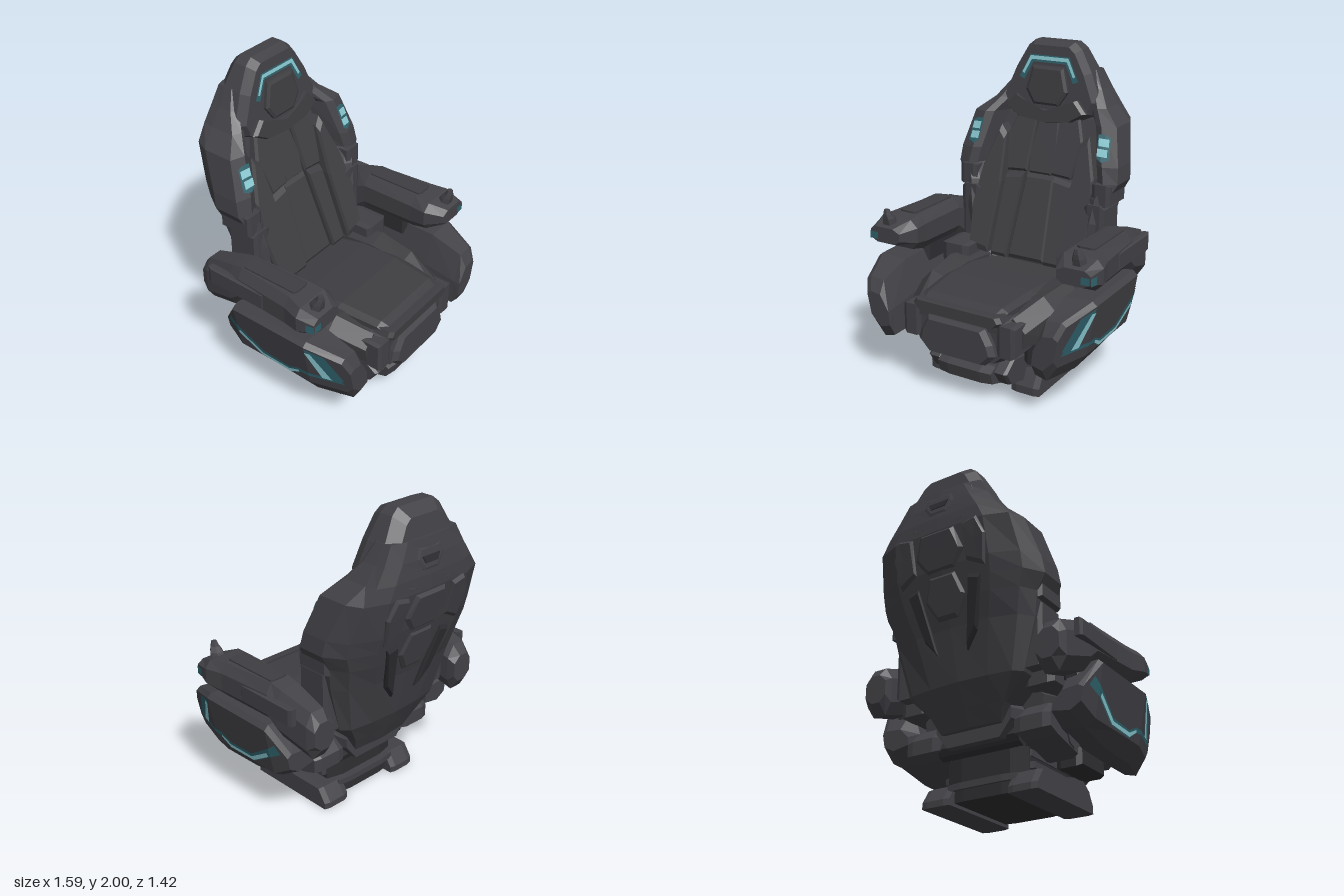
import * as THREE from 'three';

const mat = (name, color, extra = {}) => {
  const m = new THREE.MeshStandardMaterial({ color, flatShading: true, ...extra });
  m.name = name;
  return m;
};

export function createModel() {
  const group = new THREE.Group();
  const shell = mat('charcoal shell', 0x424146);
  const pad = mat('charcoal padding', 0x3e3d41);
  const dark = mat('dark recess', 0x2f2e32);
  const teal = mat('deep teal', 0x2f626c, { side: THREE.DoubleSide });
  const glow = mat('pale cyan light', 0x8ccbd4, { side: THREE.DoubleSide });

  const add = (name, geo, m) => {
    const mesh = new THREE.Mesh(geo, m);
    mesh.name = name;
    group.add(mesh);
    return mesh;
  };
  const fromTriangles = (p) => {
    const g = new THREE.BufferGeometry();
    g.setAttribute('position', new THREE.Float32BufferAttribute(p.flat(), 3));
    g.computeVertexNormals();
    return g;
  };
  // Solid skinned through equal-length rings, capped and wound outwards
  const loft = (name, rings, m) => {
    const tris = [], n = rings[0].length;
    const mid = (r) => [0, 1, 2].map((k) => r.reduce((a, p) => a + p[k], 0) / n);
    const last = rings[rings.length - 1], c0 = mid(rings[0]), c1 = mid(last);
    for (let j = 0; j < n; j++) {
      const k = (j + 1) % n;
      for (let i = 0; i < rings.length - 1; i++) {
        const [a, b, c, d] = [rings[i][j], rings[i][k], rings[i + 1][k], rings[i + 1][j]];
        tris.push([a, b, c], [a, c, d]);
      }
      tris.push([c0, rings[0][k], rings[0][j]], [c1, last[j], last[k]]);
    }
    let vol = 0;
    for (const [a, b, c] of tris) {
      vol += a[0] * (b[1] * c[2] - b[2] * c[1]) - a[1] * (b[0] * c[2] - b[2] * c[0]) + a[2] * (b[0] * c[1] - b[1] * c[0]);
    }
    if (vol < 0) tris.forEach((t) => t.reverse());
    return add(name, fromTriangles(tris.flat()), m);
  };
  // Both sides of a part
  const pair = (name, rings, m) => [['left', 1], ['right', -1]].forEach(([side, s]) =>
    loft(side + name, rings.map((r) => r.map(([x, y, z]) => [x * s, y, z])), m));
  // Full outline from its +x half
  const sym = (half) => [...half, ...half.filter((p) => p[0] > 0).reverse().map(([x, ...r]) => [-x, ...r])];
  // Front-facing outline stacked at levels [z(y), scale]
  const stack = (pts, levels) => {
    const c = [0, 1].map((k) => pts.reduce((a, p) => a + p[k], 0) / pts.length);
    return levels.map(([f, s]) => pts.map(([x, y]) => {
      const Y = c[1] + (y - c[1]) * s;
      return [c[0] + (x - c[0]) * s, Y, typeof f === 'number' ? f : f(Y)];
    }));
  };
  // Side profile of [z, y] given thickness along x, with bevelled faces
  const profile = (pts, x0, x1, bevel = 0.9) => {
    const c = [0, 1].map((k) => pts.reduce((a, p) => a + p[k], 0) / pts.length);
    const d = (x1 - x0) * 0.2;
    return [[x0, bevel], [x0 + d, 1], [x1 - d, 1], [x1, bevel]].map(([x, s]) =>
      pts.map(([z, y]) => [x, c[1] + (y - c[1]) * s, c[0] + (z - c[0]) * s]));
  };
  const box = (x0, x1, y0, y1, z0, z1, bevel = 0.88) => profile([[z0, y0], [z1, y0], [z1, y1], [z0, y1]], x0, x1, bevel);
  // Thin painted strip between two mapped polylines, on both sides
  const ribbon = (name, top, bottom, map, m) => [['left', 1], ['right', -1]].forEach(([side, s]) => {
    const t = [], P = (p) => { const [x, y, z] = map(p); return [x * s, y, z]; };
    for (let i = 0; i < top.length - 1; i++) {
      const q = [P(top[i]), P(bottom[i]), P(bottom[i + 1]), P(top[i + 1])];
      if (s < 0) q.reverse();
      t.push(q[0], q[1], q[2], q[0], q[2], q[3]);
    }
    add(side + name, fromTriangles(t), m);
  });

  // Backrest shell: [y, back width, width, inner width, back z, side z, front z, centre z]
  const rows = [
    [0.40, 0.12, 0.20, 0.14, -0.34, -0.30, -0.20, -0.20], [0.50, 0.15, 0.26, 0.20, -0.39, -0.34, -0.16, -0.18],
    [0.64, 0.20, 0.40, 0.32, -0.46, -0.38, -0.12, -0.18], [0.95, 0.26, 0.49, 0.38, -0.54, -0.40, -0.15, -0.26],
    [1.10, 0.30, 0.52, 0.40, -0.59, -0.42, -0.18, -0.32], [1.20, 0.32, 0.575, 0.44, -0.62, -0.42, -0.21, -0.35],
    [1.30, 0.33, 0.565, 0.42, -0.65, -0.44, -0.23, -0.39], [1.53, 0.32, 0.51, 0.37, -0.70, -0.54, -0.31, -0.45],
    [1.62, 0.28, 0.40, 0.30, -0.70, -0.58, -0.39, -0.48], [1.72, 0.22, 0.33, 0.24, -0.69, -0.58, -0.46, -0.50],
    [1.83, 0.16, 0.27, 0.20, -0.67, -0.58, -0.50, -0.52]];
  loft('backrestShell', rows.map(([y, wb, w, wi, zb, zs, zf, zc]) => sym([
    [0, y, zb], [wb, y, zb + 0.01], [(wb + w) / 2 + 0.05, y, (zb * 0.6 + zs * 0.4)], [w, y, zs],
    [w, y, zf - 0.03], [wi + 0.05, y, zf], [wi, y, zf - 0.03], [wi - 0.05, y, zc], [0, y, zc]])), shell);

  // Backrest padding: centre strip, side strips and bolsters on a leaning plane
  const lean = (d) => (y) => -0.12 - (y - 0.65) * 0.37 + d;
  const padLevels = (d) => [[lean(-0.12), 1], [lean(d - 0.02), 1], [lean(d), 0.9]];
  loft('lumbarStrip', stack(sym([[0.13, 0.64], [0.10, 1.17]]), padLevels(0.02)), pad);
  loft('upperCentrePad', stack(sym([[0.08, 1.17], [0.10, 1.30], [0.07, 1.52]]), padLevels(0.03)), pad);
  pair('InnerBackPad', stack([[0.14, 0.64], [0.25, 0.64], [0.24, 1.15], [0.11, 1.17]], padLevels(0.04)), pad);
  pair('UpperBackPad', stack([[0.09, 1.18], [0.23, 1.17], [0.27, 1.40], [0.22, 1.54], [0.08, 1.52]], padLevels(0.05)), pad);
  pair('BackBolster', stack([[0.26, 0.66], [0.40, 0.68], [0.43, 0.95], [0.40, 1.2], [0.32, 1.45], [0.27, 1.40], [0.25, 1.1]], padLevels(0.08)), pad);
  pair('WaistBlock', box(0.38, 0.52, 0.66, 1.07, -0.38, -0.17), shell);
  pair('WaistStep', box(0.42, 0.545, 1.06, 1.2, -0.42, -0.19), shell);

  // Rear spine plates and back panels
  const rear = (d) => (y) => (y < 1.5 ? -0.545 - (y - 0.95) * 0.27 : -0.695 + (y - 1.5) * 0.07) + d;
  const rearLevels = [[rear(0.08), 1], [rear(-0.005), 1], [rear(-0.02), 0.85]];
  loft('upperSpinePlate', stack(sym([[0.10, 1.28], [0.17, 1.38], [0.12, 1.52]]), rearLevels), shell);
  loft('middleSpinePlate', stack(sym([[0.07, 1.0], [0.14, 1.12], [0.09, 1.26]]), rearLevels), shell);
  pair('ShoulderPanel', stack([[0.18, 1.3], [0.30, 1.24], [0.33, 1.42], [0.28, 1.54], [0.18, 1.52]], rearLevels), shell);
  pair('RearRib', stack([[0.10, 0.8], [0.18, 0.9], [0.26, 1.2], [0.18, 1.22]], rearLevels), dark);

  // Headrest: hull, hexagonal cushion, chin collar and rear latch
  const headF = (d) => (y) => -0.375 - (y - 1.55) * 0.11 + d;
  const headB = (d) => (y) => -0.69 + (y - 1.6) * 0.17 + d;
  loft('headrest', stack(sym([[0.2, 1.51], [0.31, 1.56], [0.345, 1.64], [0.27, 1.82], [0.19, 1.96], [0.14, 2.0]]),
    [[headB(0), 0.78], [headB(0.06), 1], [headF(-0.06), 1], [headF(0), 0.9]]), shell);
  loft('headCushion', stack(sym([[0.09, 1.61], [0.15, 1.70], [0.11, 1.85]]), [[headF(-0.02), 1], [headF(0.02), 1], [headF(0.03), 0.86]]), pad);
  loft('chinCollar', stack(sym([[0, 1.5], [0.19, 1.52], [0.29, 1.58], [0.22, 1.66], [0.10, 1.58], [0, 1.58]]),
    [[headF(-0.08), 1], [headF(0.02), 1], [headF(0.04), 0.92]]), pad);
  loft('headLatch', stack(sym([[0.06, 1.65], [0.11, 1.72], [0.09, 1.78]]), [[headB(0.06), 1], [headB(-0.015), 1], [headB(-0.02), 0.8]]), shell);
  loft('headLatchRecess', stack(sym([[0.05, 1.69], [0.07, 1.73]]), [[headB(0), 1], [headB(-0.026), 1]]), dark);

  // Headrest light arch
  const onHead = (d) => ([x, y]) => [x, y, headF(d)(y)];
  const arch = [[0, 1.915], [0.14, 1.915], [0.21, 1.77]], archIn = [[0, 1.87], [0.115, 1.87], [0.175, 1.755]];
  ribbon('HeadLightFrame', arch, archIn, onHead(0.005), teal);
  ribbon('HeadLight', [[0, 1.908], [0.135, 1.908], [0.19, 1.80]], [[0, 1.885], [0.125, 1.885], [0.175, 1.79]], onHead(0.009), glow);

  // Shoulder wing lights
  const onWing = (d) => ([x, y]) => [x, y, -0.23 - (y - 1.3) * 0.348 - Math.max(0, x - 0.47 + (y - 1.3) * 0.217) * 0.28 + d];
  ribbon('WingLightFrame', [[0.415, 1.49], [0.46, 1.49], [0.495, 1.475]], [[0.43, 1.35], [0.46, 1.33], [0.51, 1.345]], onWing(0.012), teal);
  for (const y of [1.365, 1.425]) {
    ribbon('WingLight', [[0.425, y + 0.045], [0.49, y + 0.04]], [[0.43, y], [0.495, y - 0.005]], onWing(0.018), glow);
  }

  // Seat: base, cushion, front roll and nose panel
  const seatRing = (z, w, y0, y1) => sym([[w * 0.7, y0, z], [w, y0 + 0.1, z], [w * 1.02, y1 - 0.07, z], [w * 0.88, y1, z]]);
  loft('seatBase', [seatRing(-0.3, 0.26, 0.32, 0.55), seatRing(0.1, 0.36, 0.30, 0.59), seatRing(0.55, 0.36, 0.28, 0.58),
    seatRing(0.65, 0.34, 0.30, 0.56)], shell);
  loft('seatCushion', [[-0.2, 0.30, 0.60], [0.05, 0.35, 0.63], [0.3, 0.33, 0.645], [0.58, 0.30, 0.63], [0.66, 0.285, 0.60]].map(([z, w, y]) =>
    sym([[w, 0.5, z], [w, y - 0.02, z], [w * 0.85, y, z]])), pad);
  loft('seatFrontRoll', stack(sym([[0.28, 0.545], [0.31, 0.575], [0.29, 0.61]]), [[0.55, 1], [0.665, 1], [0.69, 0.92]]), pad);
  loft('seatNose', stack(sym([[0.2, 0.29], [0.27, 0.36], [0.25, 0.43], [0.2, 0.52]]), [[0.55, 1], [0.675, 1], [0.705, 0.88]]), shell);
  pair('SeatCorner', box(0.27, 0.39, 0.36, 0.56, 0.46, 0.67), shell);
  pair('SeatBolster', [[-0.2, 0.40, 0.64], [0.1, 0.49, 0.67], [0.35, 0.46, 0.65], [0.58, 0.39, 0.58]].map(([z, w, y]) =>
    [[0.28, 0.4, z], [w, 0.4, z], [w + 0.02, y - 0.08, z], [w - 0.06, y, z], [0.3, y - 0.03, z]]), pad);
  pair('HipBlock', box(0.34, 0.54, 0.58, 0.72, -0.3, 0.05), shell);

  // Side pods with a planar outer face so the light bands lie flush
  const podX = (y, z) => 0.775 - (0.69 - y) * 0.2 - Math.max(0, z - 0.4, -0.14 - z) * 0.3;
  pair('SidePod', [[-0.26, 0.40, 0.44, 0.52, 0.54], [-0.14, 0.33, 0.37, 0.69, 0.72], [0.1, 0.28, 0.37, 0.69, 0.72],
    [0.4, 0.27, 0.37, 0.69, 0.715], [0.62, 0.27, 0.37, 0.63, 0.65], [0.665, 0.35, 0.42, 0.55, 0.57]].map(([z, y0, y1, y2, y3]) => [
    [0.5, y0 + 0.02, z], [podX(y1, z) - 0.07, y0, z], [podX(y1, z), y1, z], [podX(y2, z), y2, z],
    [podX(y2, z) - 0.03, y3, z], [0.57, y3 - 0.01, z], [0.51, (y0 + y3) / 2, z]]), shell);
  const onPod = (d) => ([z, y]) => [podX(y, z) + d, y, z];
  ribbon('PodFrontPanel', [[0.62, 0.47], [0.52, 0.65]], [[0.50, 0.45], [0.40, 0.68]], onPod(0.004), teal);
  ribbon('PodFrontLight', [[0.55, 0.455], [0.44, 0.655]], [[0.49, 0.455], [0.405, 0.655]], onPod(0.008), glow);
  ribbon('PodBand', [[0.60, 0.47], [0.40, 0.46], [0.33, 0.46], [0.25, 0.42], [0.05, 0.43], [-0.14, 0.56], [-0.19, 0.60]],
    [[0.62, 0.44], [0.40, 0.435], [0.34, 0.43], [0.26, 0.375], [0.03, 0.385], [-0.14, 0.495], [-0.22, 0.54]], onPod(0.004), teal);
  ribbon('PodBandLight', [[0.33, 0.445], [0.25, 0.405], [0.05, 0.41], [-0.12, 0.52]],
    [[0.335, 0.43], [0.255, 0.38], [0.035, 0.388], [-0.13, 0.495]], onPod(0.008), glow);

  // Armrests: [z, inner x, outer x, bottom y, top y]
  pair('Armrest', [[-0.47, 0.53, 0.68, 0.64, 0.82], [-0.42, 0.52, 0.70, 0.57, 0.88], [-0.2, 0.51, 0.73, 0.64, 0.95],
    [-0.12, 0.51, 0.735, 0.72, 0.97], [0.26, 0.50, 0.765, 0.74, 0.97], [0.37, 0.49, 0.795, 0.77, 0.96], [0.48, 0.55, 0.77, 0.82, 0.92]].map(([z, a, b, y0, y1]) => {
    const h = (y1 - y0) * 0.25;
    return [[a + 0.04, y0, z], [b - 0.05, y0, z], [b, y0 + h, z], [b, y1 - h, z], [b - 0.04, y1, z], [a + 0.05, y1, z], [a, y1 - h, z], [a, y0 + h, z]];
  }), shell);
  pair('ArmPad', box(0.57, 0.69, 0.94, 0.98, -0.12, 0.28, 0.95), pad);
  pair('ArmSidePanel', box(0.70, 0.755, 0.79, 0.9, -0.35, 0.1, 0.9), shell);
  pair('ArmStrut', box(0.54, 0.66, 0.62, 0.78, -0.2, 0.2), dark);
  ribbon('ArmLight', [[0.43, 0.885], [0.482, 0.885]], [[0.43, 0.835], [0.482, 0.835]], ([z, y]) => [0.797 - (z - 0.37) * 0.22, y, z], teal);
  ribbon('ArmFrontLight', [[0.71, 0.885], [0.765, 0.885]], [[0.71, 0.84], [0.765, 0.84]], ([x, y]) => [x, y, 0.485], teal);
  // Control sticks
  pair('ControlStick', [[0.93, 0.05, 0.41], [0.97, 0.042, 0.425], [1.0, 0.028, 0.44], [1.03, 0.018, 0.445]].map(([y, r, z]) =>
    Array.from({ length: 6 }, (_, i) => [0.665 + r * Math.cos(i * Math.PI / 3), y, z + r * Math.sin(i * Math.PI / 3)])), shell);

  // Under-seat mechanism
  loft('pedestal', box(-0.28, 0.28, 0.10, 0.32, -0.17, 0.32), dark);
  for (const [y, w] of [[0.16, 0.31], [0.235, 0.29]]) {
    loft('pedestalPlate', box(-w, w, y, y + 0.045, -0.16, 0.38), shell);
  }
  loft('frontStep', profile([[0.62, 0.2], [0.60, 0.12], [0.42, 0.06], [0.3, 0.06], [0.3, 0.22], [0.56, 0.23]], -0.19, 0.19), shell);
  pair('StepClaw', profile([[0.58, 0.2], [0.52, 0.11], [0.36, 0.07], [0.3, 0.24], [0.48, 0.27]], 0.18, 0.28), shell);
  pair('HipLinkage', box(0.3, 0.47, 0.22, 0.42, 0.12, 0.42), dark);
  pair('RearLinkage', profile([[0.05, 0.24], [-0.2, 0.3], [-0.28, 0.33], [-0.28, 0.42], [-0.2, 0.5], [0.05, 0.46]], 0.26, 0.5), shell);
  for (const s of [-1, 1]) {
    const hinge = add('hipHinge', new THREE.CylinderGeometry(0.07, 0.07, 0.14, 8), shell);
    hinge.rotation.z = Math.PI / 2;
    hinge.position.set(s * 0.44, 0.34, -0.02);
  }
  const bar = add('rearAxle', new THREE.CylinderGeometry(0.06, 0.06, 0.56, 8), dark);
  bar.rotation.z = Math.PI / 2;
  bar.position.set(0, 0.34, -0.2);

  // Floor base: side rails, cross bar and floor plate
  pair('BaseRail', profile([[0.395, 0], [0.395, 0.05], [0.35, 0.13], [-0.19, 0.13], [-0.25, 0.04], [-0.25, 0]], 0.2, 0.395, 0.97), shell);
  loft('baseCrossBar', box(-0.22, 0.22, 0.02, 0.10, -0.2, 0.36, 0.95), dark);
  loft('basePlate', box(-0.24, 0.24, 0.09, 0.13, -0.22, 0.3, 0.95), shell);
  return group;
}
